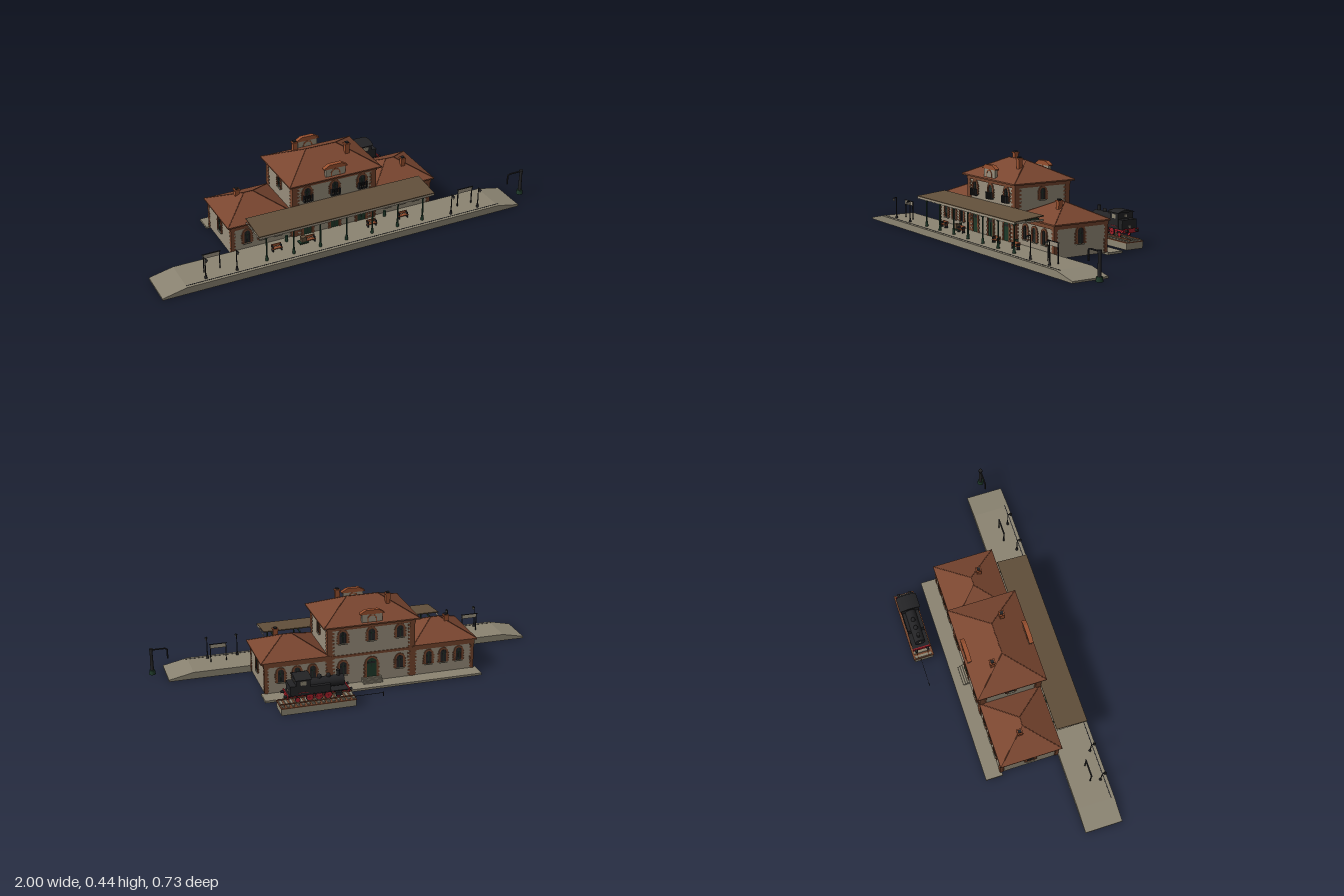
import * as THREE from 'three';

const mat = (name, color, side = THREE.FrontSide) => {
  const m = new THREE.MeshStandardMaterial({ color, side });
  m.name = name;
  return m;
};
const M = {
  wall: mat('plaster', 0x978d7b), stone: mat('stone', 0x8b8472), roof: mat('roof tiles', 0x7a4630),
  brick: mat('brick', 0x75452d), terracotta: mat('terracotta', 0x98502f),
  green: mat('dark green', 0x1f3a2a, THREE.DoubleSide), black: mat('black', 0x232325),
  red: mat('red', 0xa8202a), wood: mat('wood', 0x62503b), cream: mat('cream', 0x9b9280, THREE.DoubleSide),
};

function add(parent, name, geo, m, x = 0, y = 0, z = 0) {
  const mesh = new THREE.Mesh(geo, m);
  mesh.name = name;
  mesh.position.set(x, y, z);
  parent.add(mesh);
  return mesh;
}
function group(parent, name, x = 0, y = 0, z = 0, ry = 0) {
  const g = new THREE.Group();
  g.name = name;
  g.position.set(x, y, z);
  g.rotation.y = ry;
  parent.add(g);
  return g;
}
// box given by its limits
const span = (p, name, m, x0, x1, y0, y1, z0, z1) =>
  add(p, name, new THREE.BoxGeometry(x1 - x0, y1 - y0, z1 - z0), m, (x0 + x1) / 2, (y0 + y1) / 2, (z0 + z1) / 2);
// upright cylinder standing at y
const cyl = (p, name, m, rt, rb, h, x, y, z, n = 12) =>
  add(p, name, new THREE.CylinderGeometry(rt, rb, h, n), m, x, y + h / 2, z);
const extrude = (shape, depth) => new THREE.ExtrudeGeometry(shape, { depth, bevelEnabled: false, curveSegments: 10 });

// round-headed outline standing on y = 0
function arch(C, w, h) {
  const s = new C(), r = w / 2;
  s.moveTo(-r, 0);
  s.lineTo(r, 0);
  s.lineTo(r, h - r);
  s.absarc(0, h - r, r, 0, Math.PI, false);
  s.lineTo(-r, 0);
  return s;
}

// hipped roof: eaves rectangle rising to a ridge along x
function hipRoof(p, name, cx, cz, w, d, y0, y1) {
  const a = w / 2, b = d / 2, r = a - b * 0.94;
  const A = [-a, 0, b], B = [a, 0, b], C = [a, 0, -b], D = [-a, 0, -b], R = [r, y1 - y0, 0], L = [-r, y1 - y0, 0];
  const geo = new THREE.BufferGeometry();
  geo.setAttribute('position', new THREE.Float32BufferAttribute(
    [A, B, R, A, R, L, B, C, R, C, D, L, C, L, R, D, A, L].flat(), 3));
  geo.computeVertexNormals();
  add(p, name, geo, M.roof, cx, y0, cz);
  span(p, name + 'Eaves', M.brick, cx - a, cx + a, y0 - 0.007, y0, cz - b, cz + b);
  // ridge and hip tiles
  for (const [s, e] of [[L, R], [A, L], [D, L], [B, R], [C, R]]) {
    const path = new THREE.LineCurve3(new THREE.Vector3(...s), new THREE.Vector3(...e));
    add(p, 'ridgeTiles', new THREE.TubeGeometry(path, 1, 0.002, 5), M.roof, cx, y0, cz);
  }
}

// walls with toothed brick corners and a brick cornice
function block(p, name, x0, x1, y0, y1, z0, z1, q) {
  const g = group(p, name);
  span(g, 'walls', M.wall, x0, x1, y0, y1, z0, z1);
  span(g, 'cornice', M.brick, x0 - 0.004, x1 + 0.004, y1 - 0.018, y1, z0 - 0.004, z1 + 0.004);
  const n = Math.round((y1 - y0) / 0.01), h = (y1 - y0 - 0.018) / n, o = 0.002;
  for (let i = 0; i < n; i++) {
    const k = i % 2 ? q : q * 0.7, y = y0 + i * h;
    for (const [a, b] of [[x0 - o, x0 + k], [x1 - k, x1 + o]])
      for (const [c, d] of [[z0 - o, z0 + k], [z1 - k, z1 + o]])
        span(g, 'cornerBricks', M.brick, a, b, y, y + h, c, d);
  }
}

// arched window or door facing local +z
function opening(p, name, x, y, z, ry, w, h, door = false, balcony = false) {
  const g = group(p, name, x, y, z, ry);
  const ring = arch(THREE.Shape, w + 0.02, h + 0.01);
  ring.holes.push(arch(THREE.Path, w, h));
  add(g, 'brickSurround', extrude(ring, 0.005), M.brick);
  for (let i = 0; i < 4; i++) for (const s of [-1, 1])
    span(g, 'toothedBricks', M.brick, s * (w / 2 + 0.011) - 0.004, s * (w / 2 + 0.011) + 0.004, i * h / 5, i * h / 5 + h / 10, 0, 0.004);
  add(g, 'pane', extrude(arch(THREE.Shape, w, h), 0.002), door ? M.green : M.black);
  if (door) {
    span(g, 'fanlight', M.black, -w * 0.4, w * 0.4, h * 0.72, h * 0.82, 0.002, 0.003);
    span(g, 'doorGap', M.black, -0.0008, 0.0008, 0, h * 0.7, 0.002, 0.003);
  } else {
    span(g, 'mullion', M.green, -0.001, 0.001, 0, h, 0.002, 0.004);
    span(g, 'transom', M.green, -w / 2, w / 2, h * 0.62, h * 0.64, 0.002, 0.004);
    span(g, 'sill', M.stone, -w / 2 - 0.006, w / 2 + 0.006, -0.005, 0, 0, 0.008);
  }
  if (balcony) {
    span(g, 'balconyFloor', M.black, -0.024, 0.024, -0.008, -0.005, 0, 0.018);
    span(g, 'balconyRail', M.black, -0.024, 0.024, 0.024, 0.027, 0.015, 0.018);
    for (let i = 0; i < 13; i++)
      span(g, 'balconyBar', M.black, -0.024 + i * 0.00385, -0.0222 + i * 0.00385, -0.006, 0.025, 0.016, 0.018);
    for (const s of [-0.023, 0.023]) span(g, 'balconySide', M.black, s - 0.001, s + 0.001, -0.006, 0.027, 0, 0.018);
  }
}

function chimney(p, x, y0, y1, z) {
  const g = group(p, 'chimney', x, 0, z);
  span(g, 'stack', M.terracotta, -0.011, 0.011, y0, y1 - 0.006, -0.011, 0.011);
  span(g, 'stackCap', M.terracotta, -0.014, 0.014, y1 - 0.013, y1 - 0.006, -0.014, 0.014);
  span(g, 'pot', M.black, -0.008, 0.008, y1 - 0.006, y1, -0.008, 0.008);
}

// gabled parapet above the eaves
function pediment(p, x, z) {
  const g = group(p, 'parapet', x, 0.322, z - 0.008);
  span(g, 'parapetWall', M.wall, -0.052, 0.052, 0, 0.05, 0, 0.016);
  const s = new THREE.Shape([[-0.062, 0.048], [0.062, 0.048], [0.062, 0.053], [0.032, 0.07], [-0.032, 0.07], [-0.062, 0.053]]
    .map(([a, b]) => new THREE.Vector2(a, b)));
  add(g, 'parapetCap', extrude(s, 0.022), M.terracotta, 0, 0, -0.003);
  const ring = arch(THREE.Shape, 0.05, 0.042);
  ring.holes.push(arch(THREE.Path, 0.04, 0.036));
  add(g, 'parapetArch', extrude(ring, 0.02), M.terracotta, 0, 0.004, -0.002);
}

function building(root) {
  const g = group(root, 'stationBuilding', -0.0425, 0, 0);
  block(g, 'centralBlock', -0.223, 0.223, 0.01, 0.318, -0.13, 0.184, 0.034);
  hipRoof(g, 'centralRoof', 0, 0.0275, 0.492, 0.353, 0.324, 0.412);
  span(g, 'stringCourse', M.brick, -0.226, 0.226, 0.155, 0.168, -0.133, 0.187);
  for (const s of [-1, 1]) {
    block(g, 'wing', Math.min(s * 0.215, s * 0.54), Math.max(s * 0.215, s * 0.54), 0.01, 0.165, -0.128, 0.174, 0.02);
    hipRoof(g, 'wingRoof', s * 0.387, 0.0255, 0.342, 0.317, 0.172, 0.25);
    opening(g, 'endWindow', s * 0.54, 0.07, 0.028, s * Math.PI / 2, 0.034, 0.075);
    opening(g, 'upperEndWindow', s * 0.223, 0.236, 0.028, s * Math.PI / 2, 0.03, 0.056);
    for (const x of [0.3, 0.378, 0.46]) {
      opening(g, 'wingWindow', s * x, 0.065, 0.174, 0, 0.03, 0.068);
      opening(g, 'rearWingWindow', s * x, 0.065, -0.128, Math.PI, 0.03, 0.068);
    }
  }
  for (const x of [-0.147, 0, 0.147]) {
    opening(g, 'balconyWindow', x, 0.23, 0.184, 0, 0.034, 0.062, false, true);
    opening(g, 'rearUpperWindow', x, 0.23, -0.13, Math.PI, 0.034, 0.062);
    opening(g, 'platformDoor', x, 0.035, 0.184, 0, 0.044, 0.1, true);
    if (x) opening(g, 'rearWindow', x, 0.065, -0.13, Math.PI, 0.034, 0.068);
  }
  opening(g, 'rearDoor', 0, 0.035, -0.13, Math.PI, 0.05, 0.1, true);
  pediment(g, 0, 0.185);
  pediment(g, 0, -0.13);
  chimney(g, -0.113, 0.34, 0.436, -0.032);
  chimney(g, 0.111, 0.34, 0.436, 0.088);
  chimney(g, -0.4375, 0.2, 0.27, 0.002);
  chimney(g, 0.4345, 0.2, 0.27, 0.074);
  // rear pavement and steps
  span(g, 'rearPavement', M.stone, -0.5575, 0.5575, 0.001, 0.012, -0.207, -0.12);
  for (let i = 0; i < 3; i++) span(g, 'rearStep', M.stone, -0.05, 0.05, 0.012, 0.02 + i * 0.0075, -0.164 + i * 0.011, -0.128);
}

function platform(root) {
  const s = new THREE.Shape([[-1, 0], [0.915, 0], [0.915, 0.009], [0.79, 0.035], [-0.88, 0.035], [-1, 0.009]]
    .map(([a, b]) => new THREE.Vector2(a, b)));
  add(root, 'platform', extrude(s, 0.191), M.stone, 0, 0, 0.175);
  span(root, 'platformEdgeLine', M.black, -0.88, 0.8, 0.035, 0.036, 0.347, 0.351);
}

// toothed hanging board in the xy plane
function valance(len, m, p) {
  const n = Math.round(len / 0.0085), step = len / n, s = new THREE.Shape();
  s.moveTo(0, 0.012);
  for (let i = 0; i < n; i++) {
    s.lineTo(i * step, 0.004);
    s.lineTo((i + 0.5) * step, 0);
  }
  s.lineTo(len, 0.004);
  s.lineTo(len, 0.012);
  return add(p, 'valance', new THREE.ShapeGeometry(s), m);
}

function canopy(root) {
  const g = group(root, 'canopy');
  const sheet = span(g, 'canopyRoof', M.wood, -0.51, 0.425, -0.0025, 0.0025, -0.08, 0.08);
  sheet.position.set(-0.0425, 0.196, 0.263);
  sheet.rotation.x = 0.1;
  span(g, 'frontBeam', M.green, -0.51, 0.425, 0.183, 0.19, 0.337, 0.342);
  valance(0.935, M.cream, g).position.set(-0.51, 0.174, 0.343);
  for (const x of [-0.51, 0.425]) {
    const v = valance(0.159, M.cream, g);
    v.position.set(x, 0.178, 0.343);
    v.rotation.y = Math.PI / 2;
  }
  span(g, 'columnBeam', M.green, -0.5, 0.415, 0.18, 0.186, 0.313, 0.32);
  for (let i = 0; i < 7; i++) {
    const x = -0.4625 + i * 0.14, c = group(g, 'canopyColumn', x, 0, 0.316);
    cyl(c, 'columnBase', M.green, 0.006, 0.008, 0.025, 0, 0.035, 0, 8);
    cyl(c, 'columnShaft', M.green, 0.0035, 0.0045, 0.13, 0, 0.055, 0, 8);
    span(c, 'rafter', M.green, -0.003, 0.003, 0.181, 0.187, -0.135, 0.024);
    for (const a of [0, Math.PI / 2, Math.PI]) {
      const b = group(c, 'bracket', 0, 0, 0, a);
      const curve = new THREE.QuadraticBezierCurve3(new THREE.Vector3(0, 0.15, 0),
        new THREE.Vector3(0.005, 0.178, 0), new THREE.Vector3(0.035, 0.183, 0));
      add(b, 'bracketArm', new THREE.TubeGeometry(curve, 6, 0.002, 5), M.green);
    }
  }
}

function furniture(root) {
  // lamp posts
  for (const x of [-0.775, -0.62, 0.535, 0.69]) {
    const l = group(root, 'lampPost', x, 0, 0.33);
    cyl(l, 'lampBase', M.black, 0.004, 0.007, 0.02, 0, 0.035, 0, 8);
    cyl(l, 'lampPole', M.black, 0.002, 0.003, 0.095, 0, 0.05, 0, 8);
    span(l, 'lampArm', M.black, -0.0015, 0.0015, 0.143, 0.147, -0.002, 0.016);
    cyl(l, 'lantern', M.cream, 0.007, 0.004, 0.013, 0, 0.128, 0.015, 6);
    cyl(l, 'lanternTop', M.black, 0.002, 0.009, 0.007, 0, 0.14, 0.015, 6);
  }
  // blank platform boards
  for (const x of [-0.725, 0.6425]) {
    const b = group(root, 'platformBoard', x, 0, 0.28);
    span(b, 'board', M.cream, -0.042, 0.042, 0.108, 0.128, -0.002, 0.002);
    span(b, 'boardTop', M.black, -0.046, 0.046, 0.128, 0.131, -0.003, 0.003);
    for (const s of [-1, 1]) span(b, 'boardPost', M.black, s * 0.04 - 0.002, s * 0.04 + 0.002, 0.035, 0.13, -0.003, 0.002);
  }
  // benches, bins, wall lamps and luggage
  for (const x of [-0.385, -0.21, 0.125, 0.3]) {
    const b = group(root, 'bench', x, 0.035, 0.256);
    span(b, 'benchSeat', M.terracotta, -0.026, 0.026, 0.014, 0.018, -0.006, 0.012);
    span(b, 'benchBack', M.terracotta, -0.026, 0.026, 0.02, 0.034, -0.009, -0.006);
    for (const s of [-0.022, 0.022]) span(b, 'benchLeg', M.black, s - 0.002, s + 0.002, 0, 0.03, -0.007, 0.01);
  }
  for (const x of [-0.31, 0.225]) cyl(root, 'bin', M.green, 0.008, 0.007, 0.03, x, 0.035, 0.204, 10);
  for (const x of [-0.115, 0.03]) {
    span(root, 'wallLampArm', M.black, x - 0.001, x + 0.001, 0.136, 0.139, 0.184, 0.196);
    add(root, 'wallLamp', new THREE.SphereGeometry(0.007, 10, 8), M.cream, x, 0.13, 0.194);
  }
  span(root, 'luggage', M.wood, -0.26, -0.235, 0.05, 0.075, 0.248, 0.27);
  span(root, 'trolley', M.green, -0.27, -0.225, 0.043, 0.05, 0.243, 0.275);
  // water crane
  const w = group(root, 'waterCrane', 0.982, 0, 0.273);
  cyl(w, 'craneBase', M.green, 0.014, 0.017, 0.022, 0, 0.01, 0);
  cyl(w, 'craneColumn', M.black, 0.007, 0.009, 0.11, 0, 0.03, 0);
  cyl(w, 'craneHead', M.black, 0.01, 0.01, 0.012, 0, 0.135, 0);
  const arm = new THREE.CatmullRomCurve3([[0, 0.141, 0], [-0.068, 0.141, 0], [-0.08, 0.135, 0], [-0.081, 0.085, 0]]
    .map((a) => new THREE.Vector3(...a)), false, 'catmullrom', 0.1);
  add(w, 'craneArm', new THREE.TubeGeometry(arm, 24, 0.004, 8), M.black);
}

function locomotive(root) {
  const g = group(root, 'locomotiveDisplay', 0.29, 0, -0.313);
  span(g, 'displayPlinth', M.stone, -0.183, 0.183, 0.001, 0.034, -0.049, 0.049);
  span(g, 'plinthEdge', M.brick, -0.185, 0.185, 0.034, 0.038, -0.053, 0.053);
  for (let i = 0; i < 15; i++) span(g, 'sleeper', M.stone, -0.18 + i * 0.0247, -0.167 + i * 0.0247, 0.038, 0.045, -0.043, 0.043);
  for (const s of [-1, 1]) {
    span(g, 'rail', M.brick, -0.183, 0.183, 0.045, 0.051, s * 0.028 - 0.002, s * 0.028 + 0.002);
    for (const [x, r] of [[-0.1, 0.013], [-0.05, 0.02], [-0.005, 0.02], [0.04, 0.02], [0.1, 0.013]]) {
      const c = group(g, 'wheel', x, 0.051 + r, s * 0.029);
      c.rotation.x = Math.PI / 2;
      cyl(c, 'wheelTyre', M.black, r, r, 0.004, 0, -0.002, 0, 18);
      cyl(c, 'wheelDisc', M.red, r * 0.82, r * 0.82, 0.007, 0, -0.0035, 0, 18);
    }
    span(g, 'couplingRod', M.red, -0.055, 0.045, 0.068, 0.072, s * 0.035 - 0.001, s * 0.035 + 0.001);
    span(g, 'cylinderBlock', M.black, -0.115, -0.085, 0.066, 0.084, s * 0.038 - 0.007, s * 0.038 + 0.007);
    span(g, 'sideTank', M.black, -0.06, 0.04, 0.094, 0.13, s * 0.033 - 0.01, s * 0.033 + 0.01);
    for (const x of [-0.15, 0.15]) {
      const b = cyl(g, 'buffer', M.black, 0.007, 0.007, 0.016, x * 1.06, 0.08, s * 0.03, 10);
      b.rotation.z = Math.PI / 2;
    }
  }
  span(g, 'frame', M.red, -0.148, 0.148, 0.075, 0.09, -0.022, 0.022);
  span(g, 'runningBoard', M.black, -0.148, 0.148, 0.09, 0.094, -0.045, 0.045);
  for (const x of [-0.15, 0.15]) span(g, 'bufferBeam', M.red, x - 0.003, x + 0.003, 0.077, 0.097, -0.046, 0.046);
  const boiler = add(g, 'boiler', new THREE.CylinderGeometry(0.027, 0.027, 0.175, 20), M.black, -0.045, 0.127, 0);
  boiler.rotation.z = Math.PI / 2;
  cyl(g, 'funnel', M.black, 0.01, 0.008, 0.03, -0.108, 0.15, 0);
  for (const x of [-0.06, -0.015]) {
    cyl(g, 'dome', M.black, 0.011, 0.011, 0.01, x, 0.149, 0);
    add(g, 'domeTop', new THREE.SphereGeometry(0.011, 12, 8), M.black, x, 0.159, 0);
  }
  span(g, 'cab', M.black, 0.04, 0.108, 0.094, 0.173, -0.045, 0.045);
  span(g, 'coalBunker', M.black, 0.108, 0.138, 0.094, 0.14, -0.043, 0.043);
  for (const s of [-1, 1]) {
    span(g, 'cabWindow', M.stone, 0.06, 0.088, 0.142, 0.162, s * 0.0455 - 0.001, s * 0.0455 + 0.001);
    span(g, 'cabLining', M.red, 0.05, 0.098, 0.104, 0.106, s * 0.0455 - 0.001, s * 0.0455 + 0.001);
  }
  span(g, 'rearWindow', M.cream, 0.1075, 0.1095, 0.148, 0.16, -0.006, 0.006);
  const r = new THREE.Shape();
  r.moveTo(-0.053, 0.171);
  r.quadraticCurveTo(0, 0.195, 0.053, 0.171);
  r.lineTo(-0.053, 0.171);
  const cabRoof = add(g, 'cabRoof', extrude(r, 0.08), M.black, 0.035);
  cabRoof.rotation.y = Math.PI / 2;
  for (const [x, y] of [[-0.134, 0.127], [0.139, 0.105]]) {
    const lamp = cyl(g, 'headLamp', M.cream, 0.006, 0.006, 0.006, x, y - 0.003, 0, 12);
    lamp.rotation.z = Math.PI / 2;
  }
  // drawbar beside the plinth
  span(g, 'drawbar', M.black, -0.33, -0.185, 0.036, 0.038, -0.018, -0.016);
  span(g, 'drawbarPin', M.black, -0.332, -0.328, 0.018, 0.042, -0.019, -0.015);
}

export function createModel() {
  const root = new THREE.Group();
  root.name = 'railwayStation';
  [platform, building, canopy, furniture, locomotive].forEach((build) => build(root));
  return root;
}
